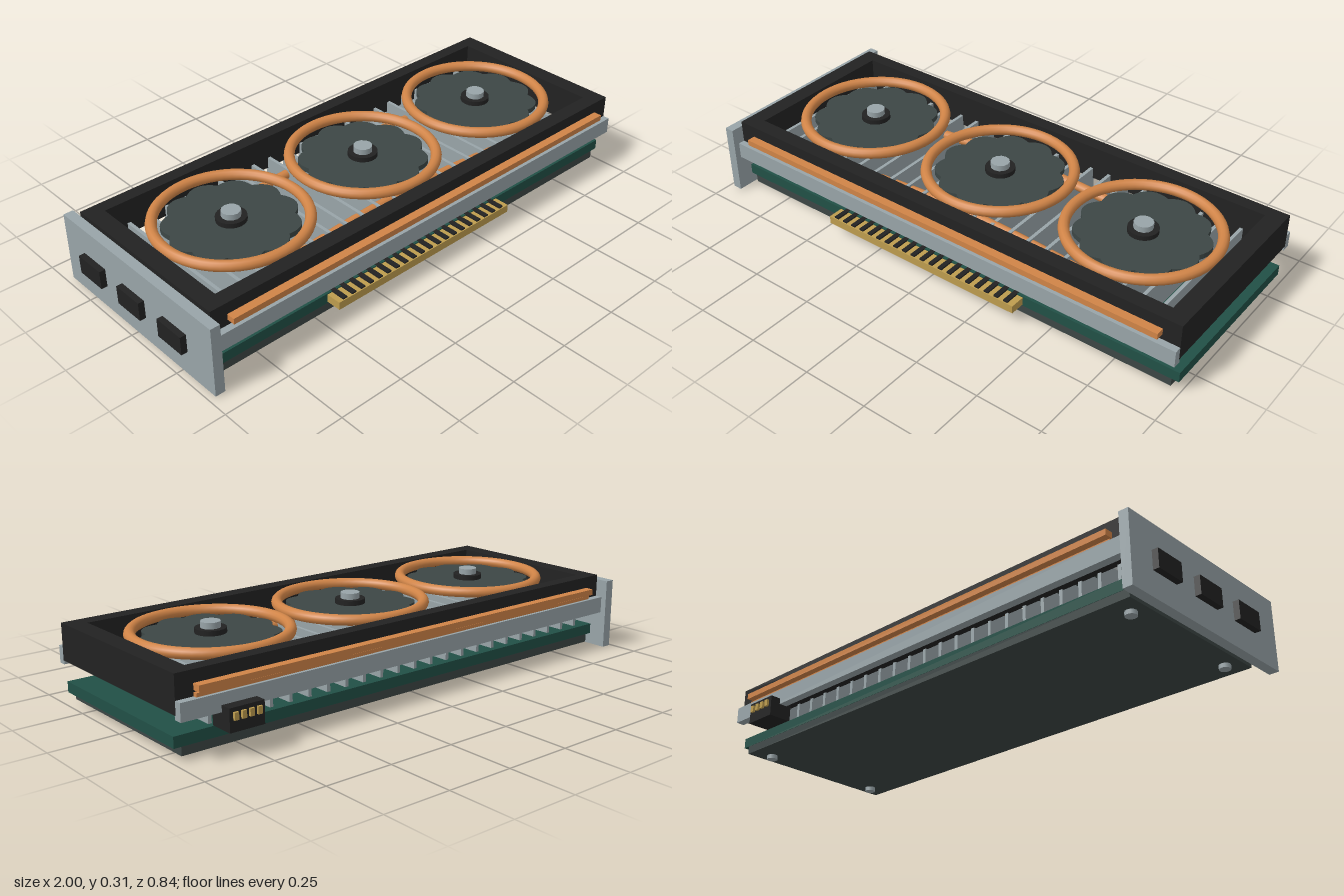
import * as THREE from 'three';

const mat = (name, color) => {
  const m = new THREE.MeshStandardMaterial({ color });
  m.name = name;
  return m;
};

export function createModel() {
  const black = mat('black', 0x222222);
  const slate = mat('slate', 0x3c4645);
  const silver = mat('silver', 0x98a4a8);
  const copper = mat('copper', 0xd08447);
  const green = mat('board green', 0x215046);
  const gold = mat('gold', 0xbd9c4e);

  const model = new THREE.Group();
  model.name = 'graphicsCard';

  const add = (name, geometry, material, x = 0, y = 0, z = 0, parent = model) => {
    const mesh = new THREE.Mesh(geometry, material);
    mesh.name = name;
    mesh.position.set(x, y, z);
    parent.add(mesh);
    return mesh;
  };
  // Box given by its limits on each axis
  const box = (name, material, x0, x1, y0, y1, z0, z1) =>
    add(name, new THREE.BoxGeometry(x1 - x0, y1 - y0, z1 - z0), material,
      (x0 + x1) / 2, (y0 + y1) / 2, (z0 + z1) / 2);

  // Circuit board and backplate with four screws underneath
  box('circuitBoard', green, -0.94, 0.995, 0.047, 0.086, -0.325, 0.356);
  box('backplate', slate, -0.915, 0.968, 0.016, 0.047, -0.324, 0.355);
  for (const x of [-0.86, 0.915])
    for (const z of [-0.245, 0.276])
      add('backplateScrew', new THREE.CylinderGeometry(0.021, 0.021, 0.02, 12), silver, x, 0.01, z);

  // Edge connector with dark gaps between its contacts
  box('edgeConnector', gold, -0.455, 0.387, 0.052, 0.082, 0.35, 0.415);
  for (let i = 0; i < 20; i++) {
    const x = -0.425 + i * 0.041;
    box('contactGap', black, x - 0.009, x + 0.009, 0.08, 0.088, 0.33, 0.411);
  }

  // Heatsink fins
  for (let i = 0; i < 23; i++) {
    const x = -0.867 + i * 0.078;
    box('fin', silver, x - 0.0065, x + 0.0065, 0.086, 0.2, -0.302, 0.33);
  }

  // Arched heat pipes
  for (const z of [-0.187, 0.2]) {
    const path = new THREE.CatmullRomCurve3([
      [-0.74, 0.12], [-0.47, 0.155], [0.05, 0.185], [0.57, 0.155], [0.84, 0.12],
    ].map(([x, y]) => new THREE.Vector3(x, y, z)));
    add('heatPipe', new THREE.TubeGeometry(path, 40, 0.018, 10), copper);
    for (const [x, y, turn] of [[-0.74, 0.12, -1], [0.84, 0.12, 1]]) {
      const cap = add('heatPipeEnd', new THREE.CircleGeometry(0.018, 10), copper, x, y, z);
      cap.rotation.y = turn * Math.PI / 2;
    }
  }

  // Shroud frame: one rectangle with a window
  const outline = new THREE.Shape([
    [-0.94, -0.374], [0.995, -0.374], [0.995, 0.345], [-0.94, 0.345],
  ].map(p => new THREE.Vector2(...p)));
  outline.holes.push(new THREE.Path([
    [-0.875, -0.315], [-0.875, 0.294], [0.927, 0.294], [0.927, -0.315],
  ].map(p => new THREE.Vector2(...p))));
  const frame = new THREE.ExtrudeGeometry(outline, { depth: 0.133, bevelEnabled: false });
  frame.rotateX(-Math.PI / 2);
  add('shroudFrame', frame, black, 0, 0.157, 0);

  // Silver side rails and copper trims
  box('frontRail', silver, -0.94, 0.995, 0.143, 0.205, 0.37, 0.4);
  box('backRail', silver, -0.94, 0.995, 0.143, 0.205, -0.372, -0.34);
  box('frontTrim', copper, -0.877, 0.93, 0.225, 0.247, 0.37, 0.406);
  box('backTrim', copper, -0.877, 0.93, 0.225, 0.247, -0.377, -0.34);
  box('backLowerTrim', copper, -0.877, 0.93, 0.205, 0.218, -0.36, -0.34);

  // Fans: scalloped rotor, ring and hub
  const lobes = 11, steps = 8;
  const rim = [];
  for (let i = 0; i < lobes * steps; i++) {
    const a = i / (lobes * steps) * Math.PI * 2;
    const r = 0.216 + 0.023 * Math.abs(Math.sin(a * lobes / 2));
    rim.push(new THREE.Vector2(r * Math.cos(a), r * Math.sin(a)));
  }
  const rotor = new THREE.ExtrudeGeometry(new THREE.Shape(rim), { depth: 0.02, bevelEnabled: false });
  rotor.rotateX(-Math.PI / 2);
  const ring = new THREE.TorusGeometry(0.268, 0.02, 12, 56);
  ring.rotateX(Math.PI / 2);
  for (const x of [-0.577, 0.028, 0.633]) {
    const fan = new THREE.Group();
    fan.name = 'fan';
    fan.position.set(x, 0, 0.012);
    model.add(fan);
    add('rotor', rotor, slate, 0, 0.25, 0, fan);
    add('fanRing', ring, copper, 0, 0.277, 0, fan);
    add('hub', new THREE.CylinderGeometry(0.055, 0.055, 0.06, 20), black, 0, 0.258, 0, fan);
    add('hubCap', new THREE.CylinderGeometry(0.035, 0.035, 0.03, 12), silver, 0, 0.295, 0, fan);
  }

  // End bracket with three ports
  box('bracket', silver, -0.977, -0.94, 0.005, 0.272, -0.394, 0.423);
  for (const z of [-0.222, 0.002, 0.227])
    box('port', black, -1, -0.97, 0.1, 0.17, z - 0.062, z + 0.062);

  // Power socket with pins
  box('powerSocket', black, 0.72, 0.85, 0.086, 0.166, -0.413, -0.32);
  for (let i = 0; i < 4; i++) {
    const x = 0.742 + i * 0.029;
    box('powerPin', gold, x - 0.008, x + 0.008, 0.126, 0.152, -0.422, -0.41);
  }

  return model;
}
